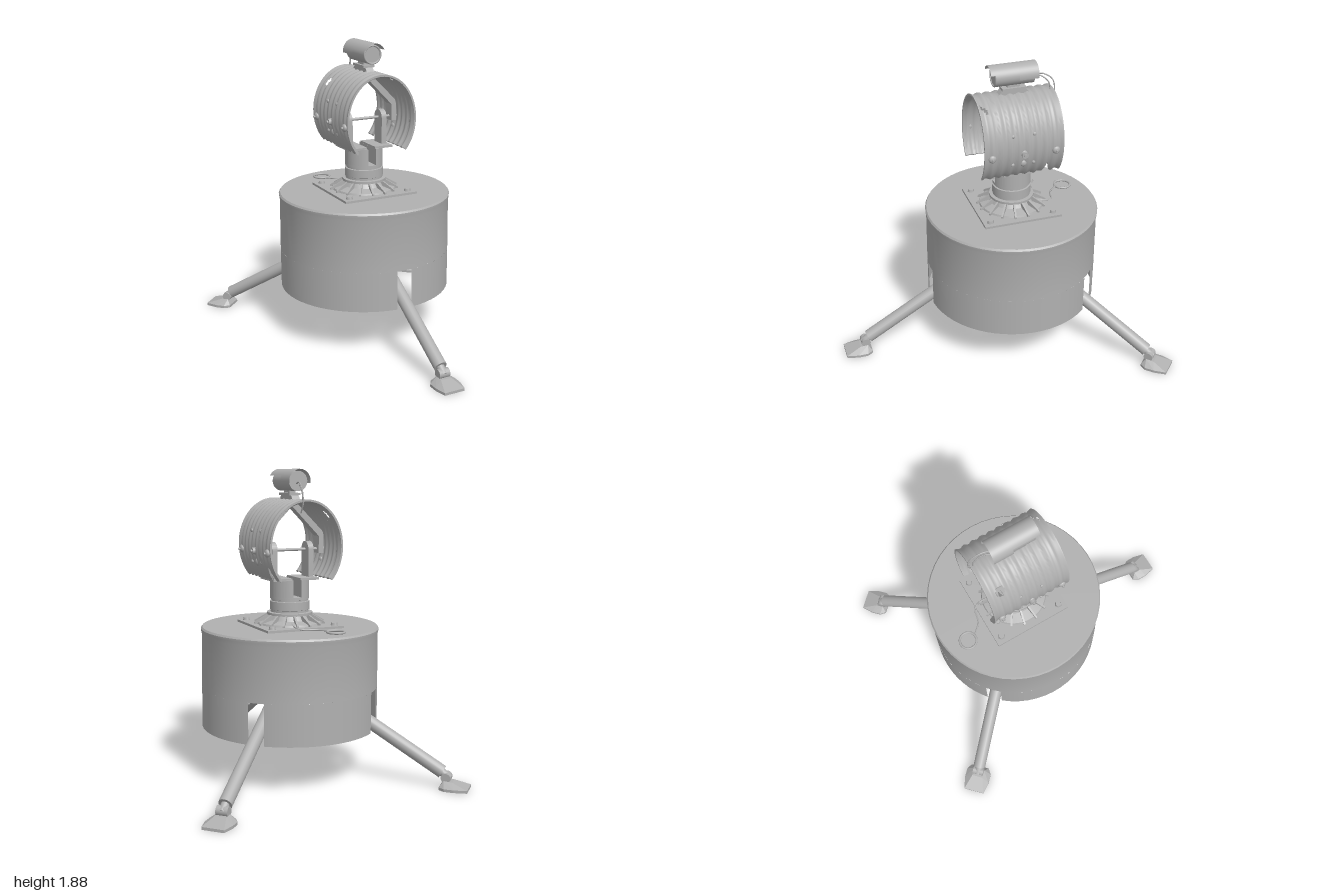
import * as THREE from 'three';
import { ConvexGeometry } from 'three/addons/geometries/ConvexGeometry.js';
import { toCreasedNormals } from 'three/addons/utils/BufferGeometryUtils.js';

const V = (x, y, z) => new THREE.Vector3(x, y, z);
const CZ = -0.145; // z of the drum and column axis

export function createModel() {
  const metal = new THREE.MeshStandardMaterial({ color: 0xb0b0b0, side: THREE.DoubleSide });
  metal.name = 'grey metal';
  const root = new THREE.Group();
  root.name = 'sensorStation';

  const add = (name, geo, x = 0, y = 0, z = 0, parent = root) => {
    const m = new THREE.Mesh(geo, metal);
    m.name = name;
    m.position.set(x, y, z);
    parent.add(m);
    return m;
  };
  const box = (name, w, h, d, x, y, z) => add(name, new THREE.BoxGeometry(w, h, d), x, y, z);
  const rod = (name, a, b, r, parent = root, seg = 20) => {
    const m = add(name, new THREE.CylinderGeometry(r, r, a.distanceTo(b), seg), 0, 0, 0, parent);
    m.position.copy(a).lerp(b, 0.5);
    m.quaternion.setFromUnitVectors(V(0, 1, 0), b.clone().sub(a).normalize());
    return m;
  };
  const lathe = (name, pts, seg = 48) => add(name, toCreasedNormals(new THREE.LatheGeometry(
    pts.map(p => new THREE.Vector2(...p)), seg), 0.6), 0, 0, CZ);
  const cable = (name, pts, r = 0.004) => add(name, new THREE.TubeGeometry(
    new THREE.CatmullRomCurve3(pts.map(p => V(...p))), 32, r, 6));

  // Drum: closed lid and upper wall, then wall arcs between the three leg slots
  lathe('drumTop', [[0.545, 0.55], [0.542, 0.88], [0.547, 0.9], [0.548, 0.914], [0.54, 0.925], [0, 0.925]]);
  const angles = [0, Math.PI * 0.75, Math.PI * 1.25, Math.PI * 2], half = 0.09;
  for (let i = 0; i < 3; i++) {
    const len = angles[i + 1] - angles[i] - 2 * half;
    add('drumSkirt', new THREE.CylinderGeometry(0.545, 0.545, 0.25, 20, 1, true, angles[i] + half, len), 0, 0.425, CZ);
  }

  // Three legs meeting on the drum axis, each with ankle and foot
  for (let i = 0; i < 3; i++) {
    const leg = new THREE.Group();
    leg.name = 'leg';
    leg.position.z = CZ;
    leg.rotation.y = angles[i];
    root.add(leg);
    rod('legTube', V(0, 0.66, 0), V(0, 0.095, 0.975), 0.04, leg);
    rod('ankleStem', V(0, 0.1, 0.965), V(0, 0.06, 1.015), 0.025, leg);
    rod('anklePin', V(-0.035, 0.066, 1.0), V(0.035, 0.066, 1.0), 0.029, leg);
    const pts = [];
    for (const s of [-1, 1]) {
      for (const [x, z] of [[0.06, 0.965], [0.083, 1.0], [0.083, 1.06], [0.066, 1.135]])
        pts.push(V(s * x, 0, z), V(s * x, 0.016, z));
      pts.push(V(s * 0.035, 0.05, 0.99), V(s * 0.035, 0.046, 1.04));
    }
    add('foot', new ConvexGeometry(pts), 0, 0, 0, leg);
  }

  // Mounting plate with corner bolts
  box('mountPlate', 0.5, 0.014, 0.5, 0, 0.932, CZ);
  for (const sx of [-1, 1]) for (const sz of [-1, 1])
    add('plateBolt', new THREE.CylinderGeometry(0.018, 0.022, 0.016, 6), sx * 0.205, 0.947, CZ + sz * 0.205);

  // Flared base with radial ribs
  lathe('flare', [[0.205, 0.938], [0.2, 0.95], [0.14, 0.965], [0.12, 0.995], [0.14, 0.995], [0.14, 1.01], [0.118, 1.012]]);
  const rib = new THREE.ExtrudeGeometry(new THREE.Shape([[0.11, 0.938], [0.22, 0.938], [0.22, 0.95], [0.135, 1.0], [0.11, 1.0]]
    .map(p => new THREE.Vector2(...p))), { depth: 0.012, bevelEnabled: false });
  rib.translate(0, 0, -0.006);
  for (let i = 0; i < 16; i++)
    add('flareRib', rib, 0, 0, CZ).rotation.y = (i + 0.5) * Math.PI / 8;

  // Column with grooves, split into two halves at the top
  lathe('column', [[0.118, 1.01], [0.118, 1.025], [0.122, 1.027], [0.122, 1.078], [0.112, 1.08],
    [0.112, 1.09], [0.12, 1.092], [0.12, 1.107], [0, 1.107]]);
  for (const s of [-1, 1]) {
    const a = Math.acos(0.027 / 0.12);
    const seg = new THREE.Shape().absarc(0, 0, 0.12, -a, a, false);
    const geo = toCreasedNormals(new THREE.ExtrudeGeometry(seg, { depth: 0.105, bevelEnabled: false, curveSegments: 20 }), 0.6);
    geo.rotateX(-Math.PI / 2);
    add('columnHalf', geo, 0, 1.107, CZ).rotation.y = s > 0 ? 0 : Math.PI;
    box('bracketFoot', 0.125, 0.014, 0.2, s * 0.09, 1.216, CZ);

    // Upright lug with rounded top
    const lug = new THREE.Shape().moveTo(-0.05, 0).lineTo(0.05, 0).lineTo(0.05, 0.17)
      .absarc(0, 0.17, 0.05, 0, Math.PI, false);
    const lugGeo = new THREE.ExtrudeGeometry(lug, { depth: 0.035, bevelEnabled: false, curveSegments: 16 });
    lugGeo.rotateY(Math.PI / 2);
    add('lug', toCreasedNormals(lugGeo, 0.6), s * 0.12 - 0.0175, 1.22, CZ);

    // Inner yoke: hanger and diagonal arm up to the neck
    const arm = new THREE.Shape([[0.18, 1.365], [0.212, 1.365], [0.212, 1.475], [0.205, 1.5], [0.02, 1.685],
      [0, 1.685], [0, 1.655], [0.18, 1.47]].map(([x, y]) => new THREE.Vector2(s * x, y)));
    const armGeo = new THREE.ExtrudeGeometry(arm, { depth: 0.07, bevelEnabled: false });
    add('yokeArm', armGeo, 0, 0, CZ - 0.035);
    rod('axleCap', V(s * 0.225, 1.39, CZ), V(s * 0.25, 1.39, CZ), 0.02);
  }
  rod('axle', V(-0.26, 1.39, CZ), V(0.26, 1.39, CZ), 0.009);

  // Corrugated shell, open below, with a torn notch and two tears
  const Z0 = 0.104, Z1 = -0.394, T = 2.36, NT = 64, NZ = 64;
  const hull = (t, z, off = 0) => {
    const r = off + 0.005 * Math.cos((z - Z0) * Math.PI * 2 / 0.0553);
    return V((0.232 + r) * Math.sin(t), 1.42 + (0.276 + r) * Math.cos(t), z);
  };
  const pos = [], idx = [];
  const at = (k, i, j) => (k * (NT + 1) + i) * (NZ + 1) + j;
  const angleAt = (i, z) => {
    const end = T - 0.36 * Math.max(0, 1 - Math.abs(z + 0.3) / 0.025);
    const u = i / NT * 2 - 1;
    return u > 0 ? u * end : u * T;
  };
  const zAt = j => Z0 + (Z1 - Z0) * j / NZ;
  const torn = (i, j) => {
    const z = zAt(j + 0.5), t = angleAt(i + 0.5, z);
    return Math.abs(t - 0.3 - (0.1 - z) * 6.5) < 0.09 && z > 0.05 && z < 0.092
      || Math.hypot((t + 0.8) / 0.14, (z + 0.31) / 0.03) < 1;
  };
  for (let k = 0; k < 2; k++) for (let i = 0; i <= NT; i++) for (let j = 0; j <= NZ; j++)
    pos.push(...hull(angleAt(i, zAt(j)), zAt(j), -0.012 * k).toArray());
  const quad = (a, b, c, d) => idx.push(a, b, c, a, c, d);
  for (let i = 0; i < NT; i++) for (let j = 0; j < NZ; j++) {
    if (torn(i, j)) continue;
    quad(at(0, i, j), at(0, i + 1, j), at(0, i + 1, j + 1), at(0, i, j + 1));
    quad(at(1, i, j), at(1, i, j + 1), at(1, i + 1, j + 1), at(1, i + 1, j));
  }
  for (let i = 0; i < NT; i++) {
    quad(at(0, i, 0), at(1, i, 0), at(1, i + 1, 0), at(0, i + 1, 0));
    quad(at(0, i, NZ), at(0, i + 1, NZ), at(1, i + 1, NZ), at(1, i, NZ));
  }
  for (let j = 0; j < NZ; j++) {
    quad(at(0, 0, j), at(0, 0, j + 1), at(1, 0, j + 1), at(1, 0, j));
    quad(at(0, NT, j), at(1, NT, j), at(1, NT, j + 1), at(0, NT, j + 1));
  }
  // The grid runs clockwise seen from outside, so flip every triangle when needed
  const n = V(0, 0, 0).crossVectors(hull(0.1, 0).sub(hull(0, 0)), V(0, 0, -1));
  if (n.y < 0) for (let i = 0; i < idx.length; i += 3) [idx[i], idx[i + 1]] = [idx[i + 1], idx[i]];
  const shell = new THREE.BufferGeometry();
  shell.setAttribute('position', new THREE.Float32BufferAttribute(pos, 3));
  shell.setIndex(idx);
  add('corrugatedShell', toCreasedNormals(shell, 0.8));

  // Rivets and washers on both sides of the shell
  for (const s of [-1, 1]) {
    for (const [t, z, r] of [[1.68, 0.056, 0.024], [1.68, CZ, 0.024], [1.68, -0.345, 0.024], [1.936, CZ, 0.022],
      [1.24, -0.075, 0.012], [1.24, -0.21, 0.012], [1.936, -0.075, 0.012], [1.936, -0.21, 0.012]]) {
      const dome = add('rivet', new THREE.SphereGeometry(r, 14, 10));
      dome.position.copy(hull(s * t, z));
      dome.scale.x = 0.6;
      if (r > 0.023) rod('rivetPin', hull(s * t, z), hull(s * t, z, 0.022), 0.008, root, 8);
    }
  }

  // Neck and saddle under the camera
  box('neck', 0.04, 0.07, 0.07, 0, 1.69, CZ);
  box('saddle', 0.075, 0.014, 0.15, 0, 1.728, CZ);
  add('saddleWedge', new ConvexGeometry([-1, 1].flatMap(s => [-1, 1].flatMap(q =>
    [V(s * 0.025, 1.69, CZ + q * 0.1), V(s * 0.025, 1.73, CZ + q * 0.065)]))));
  box('cameraPost', 0.04, 0.03, 0.08, 0, 1.745, CZ);

  // Camera body and stepped sun hood
  const CY = 1.806;
  rod('cameraBody', V(0, CY, -0.265), V(0, CY, -0.024), 0.06, root, 32);
  add('cameraBezel', new THREE.TorusGeometry(0.055, 0.006, 8, 32), 0, CY, -0.024);
  const hood = (z0, z1, a) => {
    for (const r of [0.072, 0.068]) {
      const g = new THREE.CylinderGeometry(r, r, z0 - z1, 24, 1, true, Math.PI - a, 2 * a);
      g.rotateX(Math.PI / 2);
      add('cameraHood', g, 0, CY, (z0 + z1) / 2);
    }
  };
  hood(0.008, -0.165, 1.1);
  hood(-0.165, -0.287, 1.75);

  // Cables behind the camera and a coil lying on the drum
  cable('cameraCable', [[0.01, 1.79, -0.26], [0.02, 1.8, -0.32], [0.03, 1.76, -0.385], [0.03, 1.68, -0.4], [0.03, 1.62, -0.37]]);
  cable('cameraCable', [[-0.01, 1.78, -0.26], [0.01, 1.785, -0.31], [0.02, 1.74, -0.365], [0.02, 1.67, -0.38]]);
  const coil = add('cableCoil', new THREE.TorusGeometry(0.052, 0.007, 8, 32), -0.12, 0.932, -0.54);
  coil.rotation.x = Math.PI / 2;
  cable('floorCable', [[-0.11, 0.932, -0.488], [-0.05, 0.932, -0.43], [0.04, 0.935, -0.4], [0.06, 0.945, -0.35], [0.05, 0.96, -0.27]], 0.005);
  return root;
}
